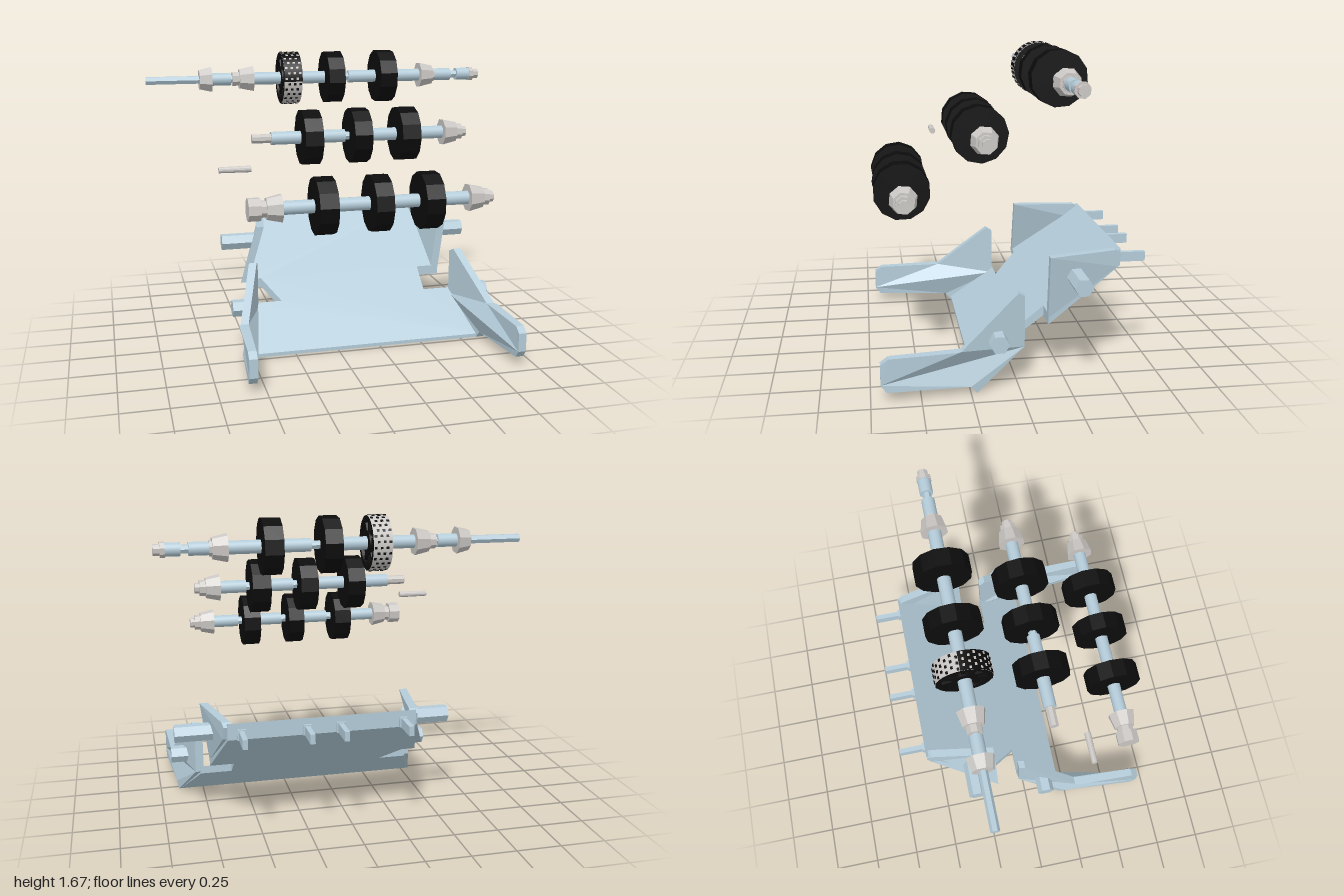
import * as THREE from 'three';

const mat = (name, color) => {
  const m = new THREE.MeshStandardMaterial({ color });
  m.name = name;
  return m;
};
const lerp = THREE.MathUtils.lerp;

export function createModel() {
  const blue = mat('paleBlueMetal', 0xb4ccd9);
  const grey = mat('lightGrey', 0xcbc8c5);
  const black = mat('blackRubber', 0x0c0c0c);
  const model = new THREE.Group();
  model.name = 'rollerAssembly';

  const add = (parent, name, geo, material, x = 0, y = 0, z = 0) => {
    const mesh = new THREE.Mesh(geo, material);
    mesh.name = name;
    mesh.position.set(x, y, z);
    parent.add(mesh);
    return mesh;
  };

  // Cylinder lying along x, from x0 (radius r0) to x1 (radius r1)
  const rod = (parent, name, x0, x1, r0, r1, sides, material, y = 0, z = 0, phase = 0) => {
    let geo = new THREE.CylinderGeometry(r1, r0, x1 - x0, sides, 1, false, phase);
    geo.rotateZ(-Math.PI / 2);
    if (sides < 14) {
      geo = geo.toNonIndexed();
      geo.computeVertexNormals();
    }
    return add(parent, name, geo, material, (x0 + x1) / 2, y, z);
  };

  // Unit-depth extrusion whose vertices are then moved by a rule
  const shaped = (points, turn, rule) => {
    const shape = new THREE.Shape(points.map(([u, v]) => new THREE.Vector2(u, v)));
    const geo = new THREE.ExtrudeGeometry(shape, { depth: 1, bevelEnabled: false });
    turn(geo);
    const p = geo.attributes.position;
    for (let i = 0; i < p.count; i++) p.setXYZ(i, ...rule(p.getX(i), p.getY(i), p.getZ(i)));
    geo.computeVertexNormals();
    return geo;
  };

  // Sloping plate, thicker toward the raised back, notched on both sides
  const frame = new THREE.Group();
  frame.name = 'frame';
  model.add(frame);
  const outline = [[-0.54, 0.22], [-0.44, -0.04], [-0.28, -0.04], [-0.38, -0.17], [-0.46, -0.17], [-0.33, -0.56],
    [0.68, -0.56], [0.74, -0.17], [0.605, -0.17], [0.605, -0.04], [0.78, -0.04], [0.88, 0.22]];
  add(frame, 'slopingPlate', shaped(outline.map(([x, z]) => [x, -z]), g => g.rotateX(-Math.PI / 2),
    (x, t, z) => [x, lerp(0.73 * (0.22 - z), 0.02 + 0.82 * (0.22 - z), t), z]), blue);

  // Upright side brackets: a (z, y) outline placed at an outer face x(z, y)
  const bracket = (name, pts, outer, thick) => add(frame, name,
    shaped(pts.map(([z, y]) => [-z, y]), g => g.rotateY(Math.PI / 2),
      (w, y, z) => [outer(z, y) + thick * (thick > 0 ? w : 1 - w), y, z]), blue);

  const lower = [[0, 0.49], [-0.035, 0.47], [-0.035, 0.2], [0.22, 0], [0.25, 0.04], [0.67, 0.05], [0.7, 0.09],
    [0.7, 0.195], [0.66, 0.225], [0.33, 0.235], [0.3, 0.235]];
  const upper = [[-0.17, 0.655], [-0.17, 0.32], [-0.54, 0.57], [-0.56, 0.64], [-0.53, 0.66]];
  const upperX = (bottom, top, back) => (z, y) =>
    lerp(lerp(bottom, top, (y - 0.32) / 0.34), back, (-0.17 - z) / 0.39);
  const lowerX = z => Math.min(0.765, 0.635 + 0.33 * (z + 0.04));
  bracket('rightLowerBracket', lower, z => 0.172 - lowerX(z), 0.045);
  bracket('leftLowerBracket', lower, z => 0.172 + lowerX(z), -0.045);
  bracket('rightUpperBracket', upper, upperX(-0.5, -0.4, -0.34), 0.045);
  bracket('leftUpperBracket', upper, upperX(0.74, 0.785, 0.7), -0.045);

  // Hexagonal pegs on both sides
  rod(frame, 'rightUpperPeg', -0.593, -0.38, 0.049, 0.049, 6, blue, 0.54, -0.31);
  rod(frame, 'leftUpperPeg', 0.72, 0.937, 0.049, 0.049, 6, blue, 0.54, -0.31);
  rod(frame, 'rightLowerPeg', -0.593, -0.49, 0.049, 0.049, 6, blue, 0.265, 0.11);
  rod(frame, 'leftLowerPeg', 0.835, 0.937, 0.049, 0.049, 6, blue, 0.265, 0.11);

  // Pegs along the back edge
  for (const x of [-0.26, 0.085, 0.265, 0.61]) {
    add(frame, 'backPeg', new THREE.BoxGeometry(0.027, 0.052, 0.17), blue, x, 0.595, -0.625);
    add(frame, 'backPegBase', new THREE.BoxGeometry(0.045, 0.056, 0.03), blue, x, 0.598, -0.56);
  }

  // Perforated wheel: studded tread, black rims and spokes
  const openWheel = (parent, x0, x1) => {
    const wheel = new THREE.Group();
    wheel.name = 'perforatedWheel';
    wheel.position.x = (x0 + x1) / 2;
    parent.add(wheel);
    const w = x1 - x0;
    const tread = (name, r, material, start, arc) =>
      add(wheel, name, new THREE.CylinderGeometry(r, r, w, 32, 1, true, start, arc).rotateZ(-Math.PI / 2), material);
    tread('tread', 0.148, grey, 0, Math.PI * 2);
    tread('darkTread', 0.15, black, -Math.PI * 0.53, Math.PI * 0.55);
    // Tread studs, light on the dark arc and dark elsewhere
    for (let i = 0; i < 30; i++) {
      const a = (i / 30) * Math.PI * 2 + 0.05;
      const onDark = a < Math.PI * 0.5;
      for (let j = 0; j < 3; j++) {
        const stud = add(wheel, 'treadStud', new THREE.BoxGeometry(0.014, 0.006, 0.012), onDark ? grey : black,
          (j - 1 + (i % 2 ? 0.25 : -0.25)) * 0.032, Math.sin(a) * 0.149, Math.cos(a) * 0.149);
        stud.rotation.x = Math.PI / 2 - a;
      }
    }
    const ring = (ro, ri) => {
      const s = new THREE.Shape().absarc(0, 0, ro, 0, Math.PI * 2);
      s.holes.push(new THREE.Path().absarc(0, 0, ri, 0, Math.PI * 2));
      return new THREE.ExtrudeGeometry(s, { depth: w - 0.004, bevelEnabled: false, curveSegments: 20 })
        .translate(0, 0, -w / 2 + 0.002).rotateY(Math.PI / 2);
    };
    add(wheel, 'rim', ring(0.147, 0.118), black);
    add(wheel, 'hub', ring(0.065, 0.03), black);
    for (let i = 0; i < 10; i++) {
      const a = (i / 10) * Math.PI * 2;
      const spoke = add(wheel, 'spoke', new THREE.BoxGeometry(w * 0.8, 0.07, 0.022), black,
        0, Math.cos(a) * 0.09, Math.sin(a) * 0.09);
      spoke.rotation.x = a;
    }
  };

  // Roller: hexagonal core with wheels, spacers and nuts along x
  const roller = (name, y, z, core, wheels, spacers, nuts, open) => {
    const g = new THREE.Group();
    g.name = name;
    g.position.set(0, y, z);
    model.add(g);
    rod(g, 'hexShaft', core[0], core[1], 0.024, 0.024, 6, blue);
    wheels.forEach(([a, b], i) => {
      if (open && i === 0) openWheel(g, a, b);
      else rod(g, 'wheel', a, b, 0.152, 0.152, 12, black, 0, 0, i * 0.2 + y);
    });
    for (const [a, b] of spacers) rod(g, 'spacer', a, b, 0.036, 0.036, 20, blue);
    for (const [a, b, r0, r1] of nuts) rod(g, 'nut', a, b, r0, r1, 8, grey, 0, 0, 0.3);
  };

  roller('topRoller', 1.52, -0.274, [-1, 0.97],
    [[-0.23, -0.125], [0.035, 0.13], [0.345, 0.445]],
    [[-0.63, -0.52], [-0.39, -0.23], [-0.125, 0.035], [0.18, 0.345], [0.445, 0.62], [0.71, 0.82], [0.86, 0.94]],
    [[-0.7, -0.63, 0.058, 0.075], [-0.51, -0.47, 0.042, 0.042], [-0.47, -0.39, 0.058, 0.076],
      [0.62, 0.7, 0.076, 0.058], [0.7, 0.715, 0.042, 0.042], [0.94, 0.965, 0.042, 0.042], [0.965, 1, 0.03, 0.03]], true);
  roller('middleRoller', 1.234, 0.144, [-0.46, 0.75],
    [[-0.2, -0.1], [0.075, 0.175], [0.345, 0.45]],
    [[-0.365, -0.2], [-0.1, 0.05], [0.2, 0.345], [0.47, 0.62]],
    [[-0.47, -0.365, 0.026, 0.026], [0.62, 0.7, 0.076, 0.058], [0.7, 0.735, 0.045, 0.045], [0.735, 0.762, 0.03, 0.03]]);
  roller('bottomRoller', 0.942, 0.557, [-0.55, 0.75],
    [[-0.22, -0.12], [0.075, 0.17], [0.345, 0.445]],
    [[-0.39, -0.22], [-0.09, 0.075], [0.2, 0.345], [0.47, 0.62]],
    [[-0.565, -0.5, 0.062, 0.062], [-0.5, -0.47, 0.045, 0.045], [-0.47, -0.39, 0.058, 0.076],
      [0.62, 0.7, 0.076, 0.058], [0.7, 0.735, 0.045, 0.045], [0.735, 0.762, 0.03, 0.03]]);

  // Loose pin
  rod(model, 'pin', -0.675, -0.505, 0.016, 0.018, 12, grey, 1.106, 0.323);

  return model;
}
